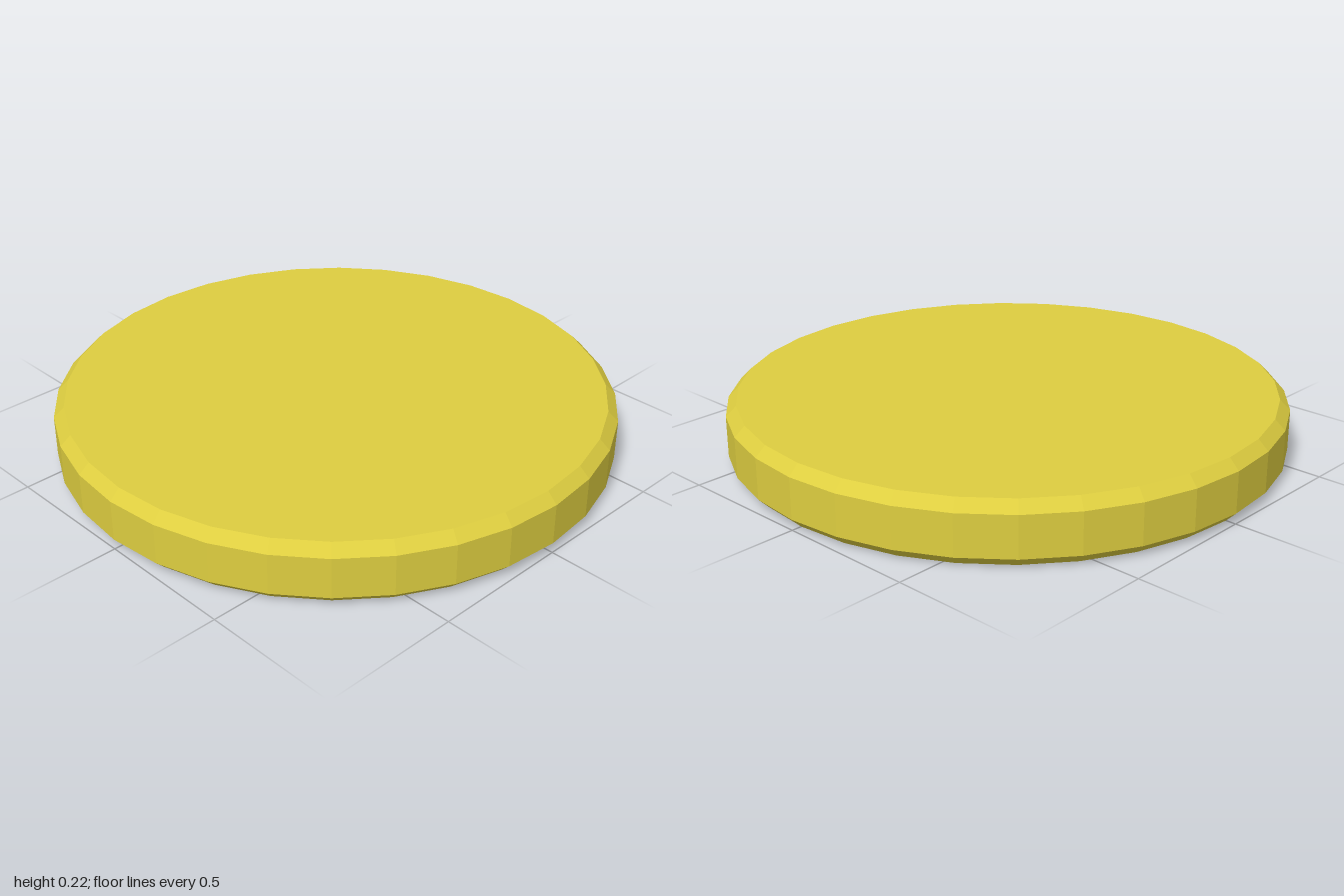
import * as THREE from 'three';

const SIDES = 32;
const HEIGHT = 0.222;
const BEVEL = 0.037;
const RECESS = 0.074;
const RECESS_RADIUS = 0.725;

// Flat disc at a given height, facing up or down
function disc(name, radius, y, facing, material) {
  const geometry = new THREE.CircleGeometry(radius, SIDES);
  geometry.rotateX(facing === 'up' ? -Math.PI / 2 : Math.PI / 2);
  const mesh = new THREE.Mesh(geometry, material);
  mesh.name = name;
  mesh.position.y = y;
  return mesh;
}

export function createModel() {
  const group = new THREE.Group();
  group.name = 'roundLid';
  const yellow = new THREE.MeshStandardMaterial({ color: 0xdece40, flatShading: true });
  const brown = new THREE.MeshStandardMaterial({ color: 0xdd8b48, flatShading: true });

  // Rim: sloped recess wall, underside ring, bevelled outer wall
  const profile = [
    [RECESS_RADIUS, RECESS],
    [0.8, 0],
    [1 - BEVEL, 0],
    [1, BEVEL],
    [1, HEIGHT - BEVEL],
    [1 - BEVEL, HEIGHT],
  ].map(([r, y]) => new THREE.Vector2(r, y));
  const rim = new THREE.Mesh(new THREE.LatheGeometry(profile, SIDES), yellow);
  rim.name = 'rim';
  group.add(rim);

  // Top face and the recessed underside panel
  group.add(disc('topFace', 1 - BEVEL, HEIGHT, 'up', yellow));
  group.add(disc('recessPanel', RECESS_RADIUS, RECESS, 'down', brown));
  return group;
}
